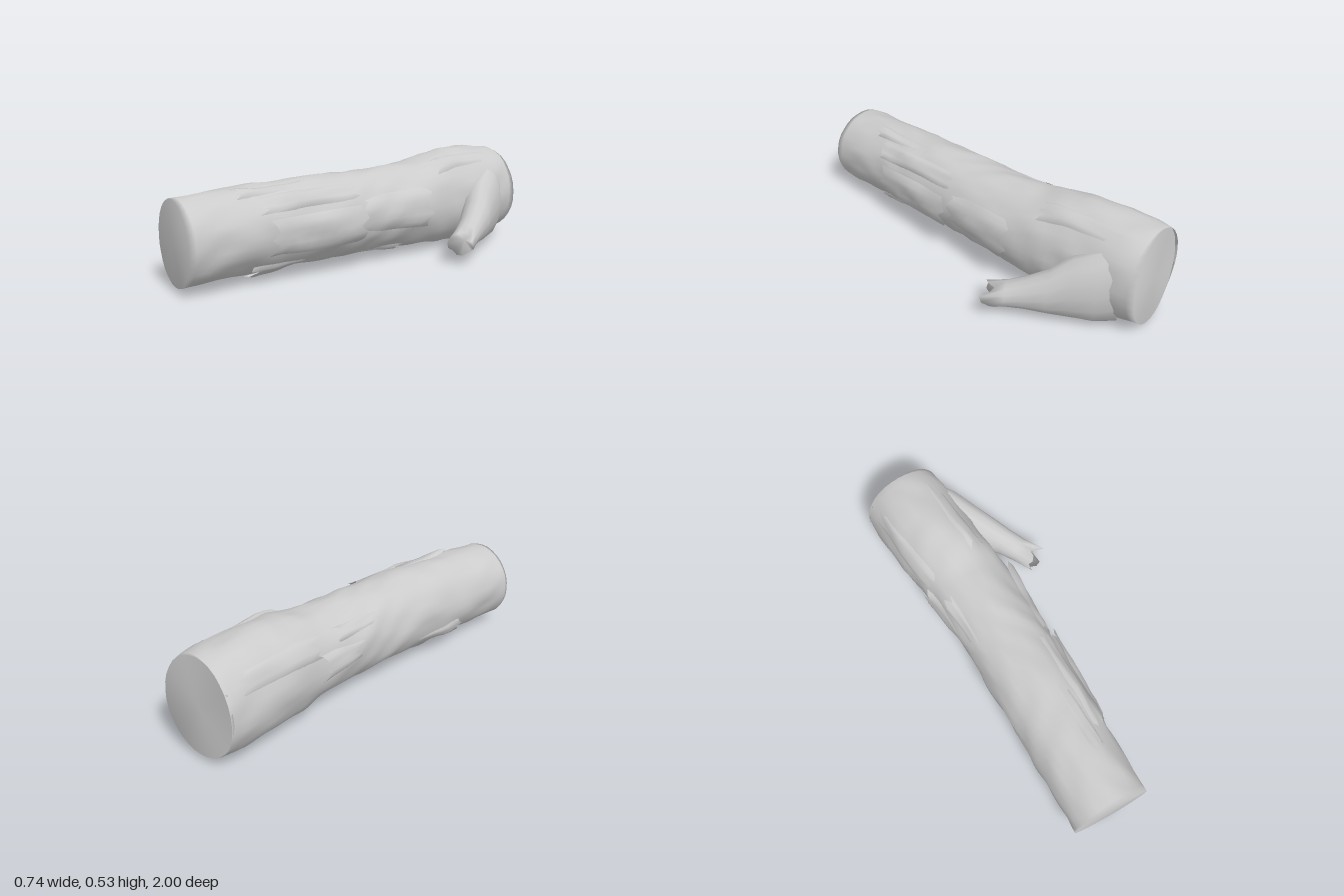
import * as THREE from 'three';

const { lerp, clamp } = THREE.MathUtils;

// Trunk profile along z: [z, left x, right x, bottom y, top y]
const PROFILE = [
  [-1, -0.37, 0.055, 0.025, 0.5],
  [-0.9, -0.37, 0.07, 0.01, 0.515],
  [-0.75, -0.365, 0.075, 0.006, 0.523],
  [-0.6, -0.352, 0.08, 0.006, 0.522],
  [-0.48, -0.335, 0.092, 0.014, 0.508],
  [-0.36, -0.32, 0.1, 0.027, 0.48],
  [-0.2, -0.312, 0.095, 0.038, 0.472],
  [0, -0.31, 0.09, 0.042, 0.47],
  [0.3, -0.318, 0.08, 0.037, 0.47],
  [0.6, -0.328, 0.07, 0.036, 0.455],
  [0.85, -0.335, 0.058, 0.03, 0.443],
  [1, -0.342, 0.052, 0.022, 0.433],
];

// Point on the bark at depth z and angle a, pushed out by lift
function barkPoint(z, a, lift = 0) {
  let k = 0;
  while (k < PROFILE.length - 2 && z > PROFILE[k + 1][0]) k++;
  const p = PROFILE[k], q = PROFILE[k + 1];
  const t = (z - p[0]) / (q[0] - p[0]);
  const [x0, x1, y0, y1] = [1, 2, 3, 4].map((i) => lerp(p[i], q[i], t));
  const calm = clamp((1 - Math.abs(z)) * 8, 0.25, 1);
  const bump = calm * (0.005 * Math.sin(3 * a + 5 * z) * Math.sin(9 * z + a)
    + 0.005 * Math.sin(7 * a + 4 * Math.sin(6 * z)) * Math.sin(13 * z + 2 * a)
    + 0.003 * Math.sin(11 * a - 17 * z));
  const rx = (x1 - x0) / 2 + bump + lift, ry = (y1 - y0) / 2 + bump + lift;
  // Slightly skewed saw cuts at both ends
  const skew = z < -0.99 ? -0.025 * Math.cos(a) + 0.01 * Math.sin(a) + 0.022
    : z > 0.99 ? 0.012 * Math.cos(a) - 0.012 : 0;
  return new THREE.Vector3(
    (x0 + x1) / 2 + Math.cos(a) * rx,
    Math.max(0, (y0 + y1) / 2 + Math.sin(a) * ry),
    z + skew,
  );
}

// Skin over rows of points; closed rows form a tube, caps are end centres
function skin(rows, closed, startCap, endCap) {
  const n = rows[0].length, pts = rows.flat(), index = [];
  const cols = closed ? n : n - 1;
  for (let j = 0; j < rows.length - 1; j++) {
    for (let i = 0; i < cols; i++) {
      const a = j * n + i, b = j * n + (i + 1) % n;
      index.push(a, b, a + n, b, b + n, a + n);
    }
  }
  const cap = (centre, base, flip) => {
    const c = pts.push(centre) - 1;
    for (let i = 0; i < n; i++) {
      const a = base + i, b = base + (i + 1) % n;
      index.push(c, flip ? b : a, flip ? a : b);
    }
  };
  if (startCap) cap(startCap, 0, true);
  if (endCap) cap(endCap, (rows.length - 1) * n, false);
  const g = new THREE.BufferGeometry().setFromPoints(pts);
  g.setIndex(index);
  g.computeVertexNormals();
  return g;
}

const centreOf = (row) => row.reduce((s, p) => s.add(p), new THREE.Vector3()).divideScalar(row.length);

function trunkGeometry() {
  const rows = [];
  for (let j = 0; j <= 56; j++) {
    const z = -1 + j / 28;
    rows.push(Array.from({ length: 32 }, (_, i) => barkPoint(z, i / 32 * Math.PI * 2)));
  }
  return skin(rows, true, centreOf(rows[0]), centreOf(rows[56]));
}

// Branch sections: [x, y, z, half width, half height]
const BRANCH = [
  [-0.05, 0.235, -0.87, 0.1, 0.215],
  [0.02, 0.215, -0.79, 0.104, 0.2],
  [0.075, 0.19, -0.69, 0.1, 0.17],
  [0.145, 0.16, -0.61, 0.082, 0.118],
  [0.205, 0.138, -0.52, 0.069, 0.082],
  [0.25, 0.12, -0.445, 0.066, 0.063],
  [0.287, 0.105, -0.385, 0.07, 0.055],
];

function branchGeometry() {
  const across = new THREE.Vector3(0.865, 0, -0.5), along = new THREE.Vector3(0.5, 0, 0.865);
  const up = new THREE.Vector3(0, 1, 0), sides = 14;
  const teeth = [0.035, 0.045, 0, -0.02, 0.02, 0.03, 0.01, 0.03, 0.035, 0.01, 0.04, 0.045, -0.02, 0];
  const rows = BRANCH.map(([x, y, z, w, h], j) => Array.from({ length: sides }, (_, i) => {
    const a = i / sides * Math.PI * 2;
    const p = new THREE.Vector3(x, y, z)
      .addScaledVector(across, Math.cos(a) * w)
      .addScaledVector(up, Math.sin(a) * h);
    // Splintered rim on the last section
    return j === BRANCH.length - 1 ? p.addScaledVector(along, teeth[i]) : p;
  }));
  return skin(rows, true, null, new THREE.Vector3(0.265, 0.112, -0.42));
}

// Loose bark plates: [z start, z end, angle start, angle end, lift at start, lift at end]
const PLATES = [
  [-0.31, 0.08, -0.35, 0.55, 0.03, 0.004],
  [0.1, 0.58, -0.5, 0.35, 0.03, 0.016],
  [0.12, 0.62, 0.5, 0.95, 0.008, 0.014],
  [0.3, 0.72, 1.0, 1.35, -0.004, 0.013],
  [-0.4, -0.12, 2.75, 3.3, 0.02, -0.004],
  [-0.28, 0.02, 2.3, 2.65, 0.012, -0.003],
  [-0.86, -0.42, 2.3, 2.8, 0.004, 0.012],
  [-0.85, -0.45, 0.75, 1.2, -0.002, 0.012],
  [0.35, 0.66, -1.25, -0.8, -0.004, 0.018],
  [-0.2, 0.15, -1.5, -1.0, 0.012, -0.004],
  [0.2, 0.6, 3.5, 4.0, -0.004, 0.012],
];

function plateGeometry([z0, z1, a0, a1, l0, l1], seed) {
  const rows = [], nz = 8, na = 6;
  for (let j = 0; j <= nz; j++) {
    const v = j / nz, row = [];
    for (let i = 0; i <= na; i++) {
      const u = i / na;
      // Ragged ends, with the long sides tucked into the bark
      const ragged = 0.025 * Math.sin(i * 2.3 + seed) * Math.abs(2 * v - 1);
      const tuck = i === 0 || i === na ? -0.012 : 0;
      row.push(barkPoint(lerp(z0, z1, v) + ragged, lerp(a0, a1, u), lerp(l0, l1, v) + tuck));
    }
    rows.push(row);
  }
  return skin(rows, false);
}

export function createModel() {
  const model = new THREE.Group();
  model.name = 'log';
  const material = new THREE.MeshStandardMaterial({ color: 0xcccccc, side: THREE.DoubleSide });
  const add = (name, geometry, parent = model) => {
    const mesh = new THREE.Mesh(geometry, material);
    mesh.name = name;
    parent.add(mesh);
  };
  add('trunk', trunkGeometry());
  add('brokenBranch', branchGeometry());

  const plates = new THREE.Group();
  plates.name = 'barkPlates';
  PLATES.forEach((plate, i) => add('barkPlate', plateGeometry(plate, i), plates));
  model.add(plates);
  return model;
}
